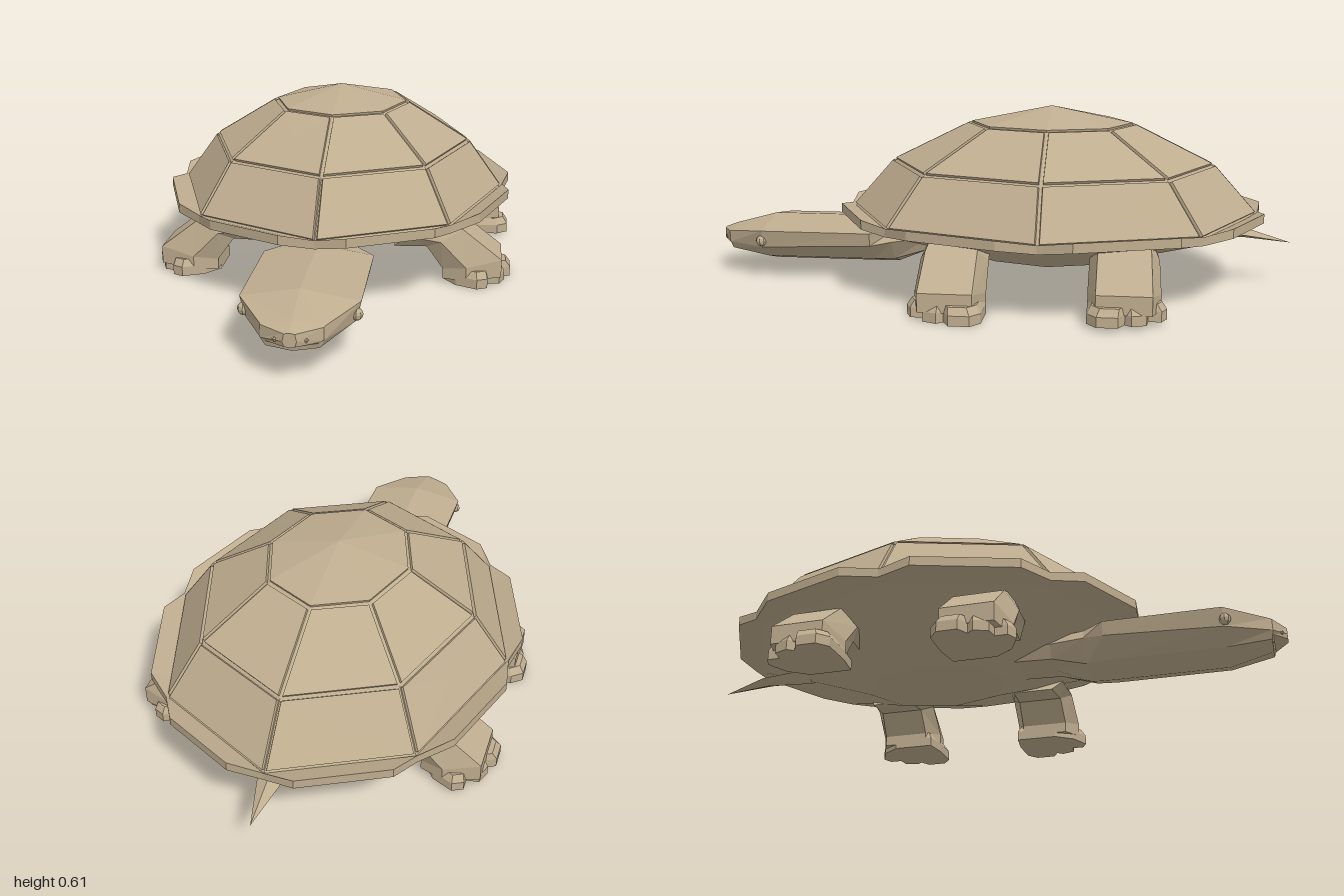
import * as THREE from 'three';

const material = new THREE.MeshStandardMaterial({ color: 0xbfad8f, flatShading: true });
const V = (x, y, z) => new THREE.Vector3(x, y, z);
const CZ = -0.18; // middle of the shell along z

// Faceted closed solid through loops of equal length; the ends fan to a centre point.
function loft(name, loops, startTip, endTip) {
  const tris = [];
  const n = loops[0].length;
  const centre = (l) => l.reduce((s, p) => s.add(p), V(0, 0, 0)).divideScalar(n);
  for (let k = 0; k < loops.length - 1; k++) {
    for (let i = 0; i < n; i++) {
      const j = (i + 1) % n;
      const [a, b, c, d] = [loops[k][i], loops[k][j], loops[k + 1][j], loops[k + 1][i]];
      tris.push([a, b, c], [a, c, d]);
    }
  }
  const first = loops[0], last = loops[loops.length - 1];
  const t0 = startTip || centre(first), t1 = endTip || centre(last);
  for (let i = 0; i < n; i++) {
    const j = (i + 1) % n;
    tris.push([first[j], first[i], t0], [last[i], last[j], t1]);
  }
  // turn the faces outward whichever way the loops run
  const mid = centre(first);
  let volume = 0;
  for (const [a, b, c] of tris) {
    volume += a.clone().sub(mid).dot(b.clone().sub(mid).cross(c.clone().sub(mid)));
  }
  const points = tris.flatMap(([a, b, c]) => (volume < 0 ? [a, c, b] : [a, b, c]));
  const geometry = new THREE.BufferGeometry().setFromPoints(points);
  geometry.computeVertexNormals();
  const mesh = new THREE.Mesh(geometry, material);
  mesh.name = name;
  return mesh;
}

// Eight-cornered oval at height y
function octagon(rx, rz, y) {
  return Array.from({ length: 8 }, (_, i) => {
    const a = (i * Math.PI) / 4;
    return V(rx * Math.sin(a), y, CZ + rz * Math.cos(a));
  });
}

// Octagon split into 24 points; the two points inside each side are pushed out as rim scutes
function rimLoop(rx, rz, y, push = 0, lift = 0) {
  const corners = octagon(rx, rz, y);
  return corners.flatMap((p, i) => {
    const q = corners[(i + 1) % 8];
    const side = q.clone().sub(p).normalize();
    const out = V(-side.z, 0, side.x);
    if (out.dot(V(p.x + q.x, 0, p.z + q.z - 2 * CZ)) < 0) out.negate();
    const near = i % 2 ? 0.21 : 0.18; // narrow gaps mirrored on neighbouring sides
    const scute = (t) => p.clone().lerp(q, t).addScaledVector(out, push).add(V(0, lift, 0));
    return [p, scute(near), scute(1 - near)];
  });
}

function createShell() {
  const shell = new THREE.Group();
  shell.name = 'shell';
  const R = [[0.58, 0.705, 0.245], [0.46, 0.557, 0.412], [0.24, 0.285, 0.547]];
  const rings = R.map((r) => octagon(...r));
  const top = V(0, 0.605, CZ);

  // solid body: dome under the plates, scalloped rim and rounded belly
  const under = R.map(([x, z, y]) => rimLoop(x - 0.008, z - 0.008, y - 0.006)).reverse();
  shell.add(loft('shellBody', [
    ...under,
    rimLoop(0.582, 0.707, 0.25, 0.058, 0.015),
    rimLoop(0.582, 0.707, 0.222, 0.058, 0.012),
    rimLoop(0.555, 0.675, 0.215),
    rimLoop(0.36, 0.44, 0.145),
    rimLoop(0.19, 0.25, 0.082),
  ], V(0, 0.59, CZ), V(0, 0.055, CZ)));

  // two rows of raised plates with narrow grooves between them
  const gap = 0.008;
  for (let row = 0; row < 2; row++) {
    for (let i = 0; i < 8; i++) {
      const j = (i + 1) % 8;
      const quad = [rings[row][i], rings[row][j], rings[row + 1][j], rings[row + 1][i]];
      const face = quad.map((p, k) => {
        const toward = (q) => q.clone().sub(p).setLength(gap);
        return p.clone().add(toward(quad[(k + 1) % 4])).add(toward(quad[(k + 3) % 4]));
      });
      const normal = quad[1].clone().sub(quad[0]).cross(quad[3].clone().sub(quad[0])).normalize();
      const back = face.map((p) => p.clone().addScaledVector(normal, -0.015));
      shell.add(loft('shellPlate', [back, face]));
    }
  }
  shell.add(loft('crownPlate', [octagon(0.225, 0.27, 0.525), octagon(0.232, 0.277, 0.549)], null, top));
  return shell;
}

// Cross-section across z from a right-hand profile, mirrored in x
function symmetricLoop(z, half) {
  const right = half.map(([x, y]) => V(x, y, z));
  const left = half.slice(1, -1).reverse().map(([x, y]) => V(-x, y, z));
  return [...right, ...left];
}

function createHead() {
  const head = new THREE.Group();
  head.name = 'head';
  head.add(loft('headAndNeck', [
    symmetricLoop(0.08, [[0, 0.185], [0.08, 0.18], [0.1, 0.15], [0.08, 0.11], [0, 0.1]]),
    symmetricLoop(0.24, [[0, 0.185], [0.08, 0.18], [0.1, 0.15], [0.08, 0.105], [0, 0.095]]),
    symmetricLoop(0.36, [[0, 0.19], [0.12, 0.175], [0.14, 0.14], [0.09, 0.07], [0, 0.042]]),
    symmetricLoop(0.43, [[0, 0.205], [0.175, 0.175], [0.165, 0.13], [0.1, 0.07], [0, 0.04]]),
    symmetricLoop(0.81, [[0, 0.205], [0.175, 0.175], [0.16, 0.115], [0.1, 0.07], [0, 0.04]]),
    symmetricLoop(0.95, [[0, 0.167], [0.09, 0.155], [0.09, 0.115], [0.075, 0.09], [0, 0.077]]),
    symmetricLoop(0.955, [[0, 0.166], [0.088, 0.153], [0.088, 0.115], [0.075, 0.106], [0, 0.1]]),
    symmetricLoop(0.998, [[0, 0.15], [0.015, 0.147], [0.02, 0.125], [0.015, 0.11], [0, 0.107]]),
  ]));
  for (const s of [1, -1]) {
    const eye = new THREE.Mesh(new THREE.SphereGeometry(0.019, 8, 6), material);
    eye.name = 'eye';
    eye.position.set(s * 0.162, 0.138, 0.815);
    const nostril = new THREE.Mesh(new THREE.SphereGeometry(0.009, 6, 4), material);
    nostril.name = 'nostril';
    nostril.position.set(s * 0.042, 0.124, 0.978);
    head.add(eye, nostril);
  }
  return head;
}

// Leg leaning outward from the belly, on a foot with three blunt toes
function createLeg(name) {
  const leg = new THREE.Group();
  leg.name = name;
  // slanted six-sided section from the inner to the outer edge
  const section = (xi, yi, xo, yo, z0, z1) => {
    const at = (t, z) => V(xi + (xo - xi) * t, yi + (yo - yi) * t, z);
    const zm = (z0 + z1) / 2, h = (z1 - z0) / 2;
    return [at(0, zm - h * 0.7), at(0.4, z0), at(1, zm - h * 0.75),
      at(1, zm + h * 0.75), at(0.4, z1), at(0, zm + h * 0.7)];
  };
  leg.add(loft('limb', [
    section(0.22, 0.12, 0.34, 0.23, 0.0, 0.2),
    section(0.33, 0.125, 0.45, 0.19, -0.01, 0.21),
    section(0.385, 0.05, 0.58, 0.09, -0.012, 0.215),
    section(0.385, 0.015, 0.58, 0.03, -0.012, 0.215),
  ]));
  const plan = [[0.385, 0.0], [0.47, -0.012], [0.575, -0.01], [0.612, 0.02], [0.612, 0.085], [0.575, 0.105],
    [0.592, 0.125], [0.575, 0.17], [0.535, 0.175], [0.535, 0.215], [0.5, 0.232], [0.43, 0.2], [0.385, 0.14]];
  const layer = (y, s) => plan.map(([x, z]) => V(0.48 + (x - 0.48) * s, y, 0.105 + (z - 0.105) * s));
  leg.add(loft('foot', [layer(0, 1), layer(0.032, 1), layer(0.055, 0.88)]));
  return leg;
}

export function createModel() {
  const turtle = new THREE.Group();
  turtle.name = 'turtle';
  turtle.add(createShell(), createHead());

  for (const s of [1, -1]) {
    const front = createLeg('frontLeg');
    front.scale.x = s;
    const rear = createLeg('rearLeg');
    rear.scale.set(s, 1, -1);
    rear.position.set(0, 0.012, -0.34);
    turtle.add(front, rear);
  }

  // pointed tail
  turtle.add(loft('tail', [
    symmetricLoop(-0.66, [[0, 0.21], [0.06, 0.18], [0, 0.15]]),
    symmetricLoop(-0.84, [[0, 0.195], [0.04, 0.175], [0, 0.16]]),
  ], null, V(0, 0.145, -1)));
  return turtle;
}
